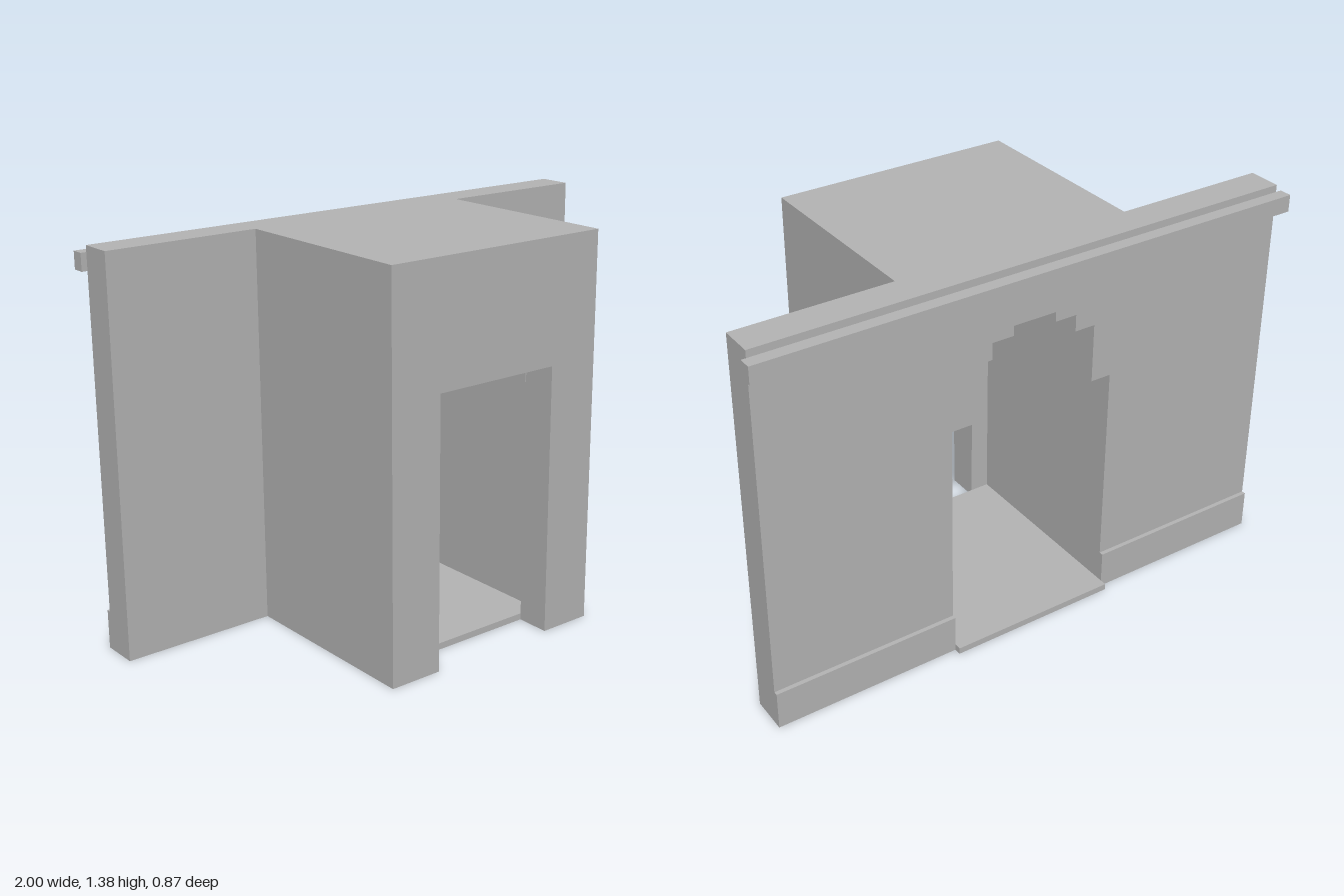
import * as THREE from 'three';

export function createModel() {
  const model = new THREE.Group();
  const grey = new THREE.MeshStandardMaterial({ color: 0xb4b4b4 });
  grey.name = 'plaster grey';

  const height = 1.38;
  const back = -0.388, wallFront = -0.27, innerFront = 0.315, front = 0.436;

  // Right half of each passage profile, from the floor up to the crown
  const stepped = [[0.31, 0], [0.31, 0.87], [0.235, 0.87], [0.235, 1.08],
    [0.16, 1.08], [0.16, 1.14], [0.08, 1.14], [0.08, 1.175]];
  const doorway = [[0.239, 0], [0.239, 0.95]];

  // A rectangular slab, open at the bottom along a mirrored passage profile
  function archSlab(name, halfWidth, opening, z0, z1) {
    const mirrored = opening.map(([x, y]) => [-x, y]).reverse();
    const outline = [[halfWidth, 0], [halfWidth, height], [-halfWidth, height],
      [-halfWidth, 0], ...mirrored.reverse(), ...opening.slice().reverse()];
    const shape = new THREE.Shape(outline.map(([x, y]) => new THREE.Vector2(x, y)));
    const geometry = new THREE.ExtrudeGeometry(shape, { depth: z1 - z0, bevelEnabled: false });
    return add(name, geometry, 0, 0, z0);
  }

  function add(name, geometry, x, y, z) {
    const mesh = new THREE.Mesh(geometry, grey);
    mesh.name = name;
    mesh.position.set(x, y, z);
    model.add(mesh);
    return mesh;
  }

  // A box given by its limits
  function block(name, x0, x1, y0, y1, z0, z1) {
    return add(name, new THREE.BoxGeometry(x1 - x0, y1 - y0, z1 - z0),
      (x0 + x1) / 2, (y0 + y1) / 2, (z0 + z1) / 2);
  }

  // Wide wall, projecting passage with stepped vault, and its front wall
  archSlab('backWall', 0.982, orderUp(stepped), back, wallFront);
  archSlab('passage', 0.431, orderUp(stepped), wallFront, innerFront);
  archSlab('frontWall', 0.431, orderUp(doorway), innerFront, front);

  // Floor, reaching out behind the wall as a threshold
  block('floor', -0.31, 0.31, 0, 0.023, -0.428, innerFront);

  // Skirting either side of the opening
  block('leftSkirting', 0.31, 0.982, 0, 0.138, -0.403, back);
  block('rightSkirting', -0.982, -0.31, 0, 0.138, -0.403, back);

  // Rail along the top of the back
  block('topRail', -1, 1, 1.297, 1.357, -0.436, -0.392);

  return model;
}

// Profiles run from the floor to the crown
function orderUp(points) {
  return points.slice().sort((a, b) => a[1] - b[1] || b[0] - a[0]);
}
